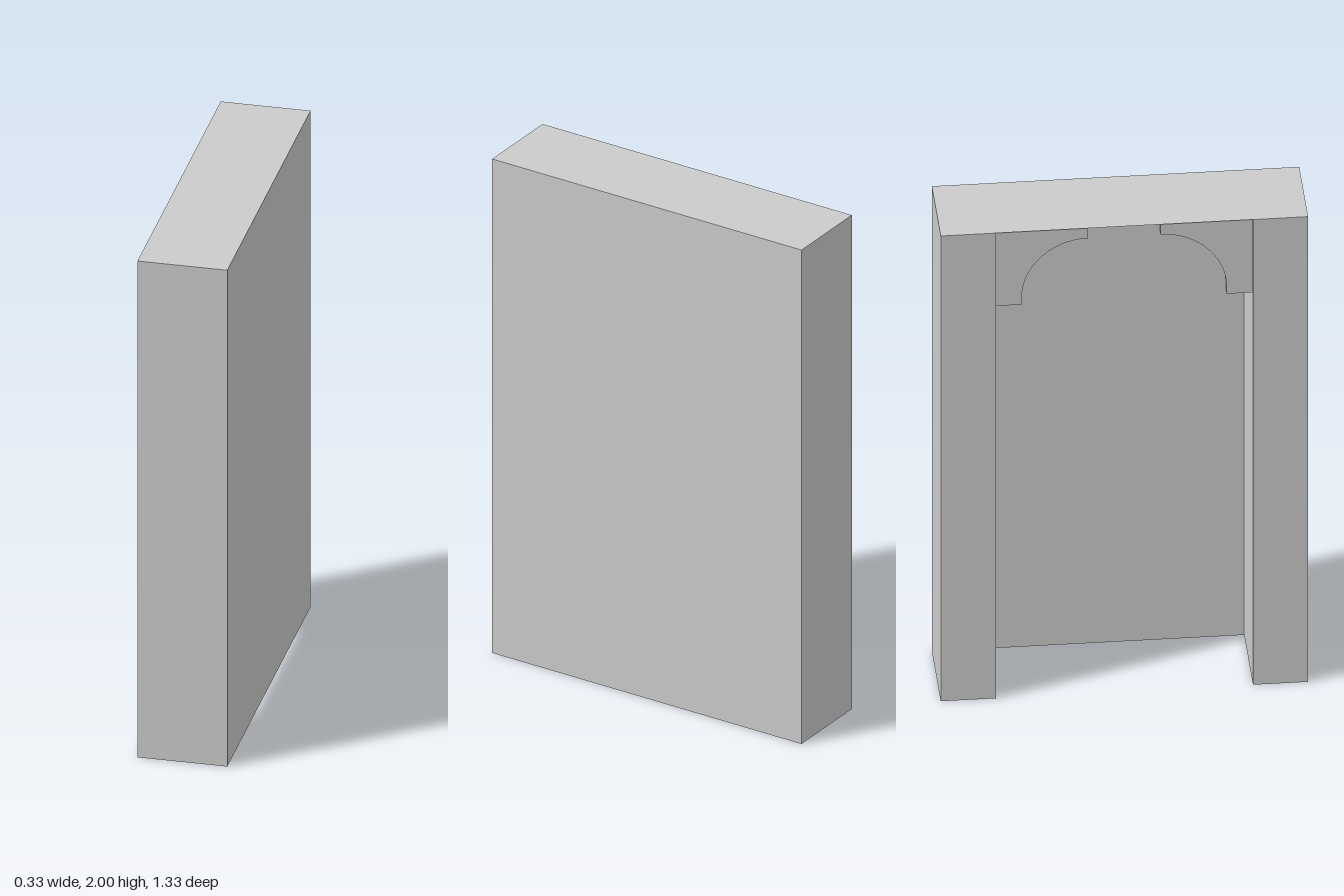
import * as THREE from 'three';

const W = 0.333, H = 2, D = 1.333; // overall x, y, z
const POST = 0.2;                  // post width along z

export function createModel() {
  const group = new THREE.Group();
  const solid = new THREE.MeshStandardMaterial({ color: 0xcccccc });
  const sheet = new THREE.MeshStandardMaterial({ color: 0xcccccc, side: THREE.DoubleSide });

  const add = (name, geometry, material, x, y, z) => {
    const mesh = new THREE.Mesh(geometry, material);
    mesh.name = name;
    mesh.position.set(x, y, z);
    group.add(mesh);
    return mesh;
  };

  // Thin sheets closing the +x side and the top between the posts
  const span = D - 2 * POST;
  add('sidePanel', new THREE.PlaneGeometry(span, H), sheet, W / 2, H / 2, 0).rotation.y = Math.PI / 2;
  add('topPanel', new THREE.PlaneGeometry(W, span), sheet, 0, H, 0).rotation.x = -Math.PI / 2;

  // Bracket profile: x runs away from the post, y hangs down from the top
  const reach = 0.335, drop = 0.32, radius = 0.24, lip = 0.05;
  const profile = new THREE.Shape();
  profile.moveTo(0, 0);
  profile.lineTo(0, -drop);
  profile.lineTo(reach - radius, -drop);
  profile.lineTo(reach - radius, -lip - radius);
  profile.absarc(reach, -lip - radius, radius, Math.PI, Math.PI / 2, true);
  profile.lineTo(reach, 0);
  const thickness = 0.06, outerX = -W / 2 + 0.012;
  const bracket = new THREE.ExtrudeGeometry(profile, {
    depth: thickness, bevelEnabled: false, curveSegments: 16,
  });

  // A post and a curved bracket at each end
  for (const [end, s] of [['front', 1], ['back', -1]]) {
    add(end + 'Post', new THREE.BoxGeometry(W, H, POST), solid, 0, H / 2, s * (D - POST) / 2);
    const x = s > 0 ? outerX : outerX + thickness;
    add(end + 'Bracket', bracket, solid, x, H - 0.001, s * span / 2).rotation.y = s * Math.PI / 2;
  }
  return group;
}
